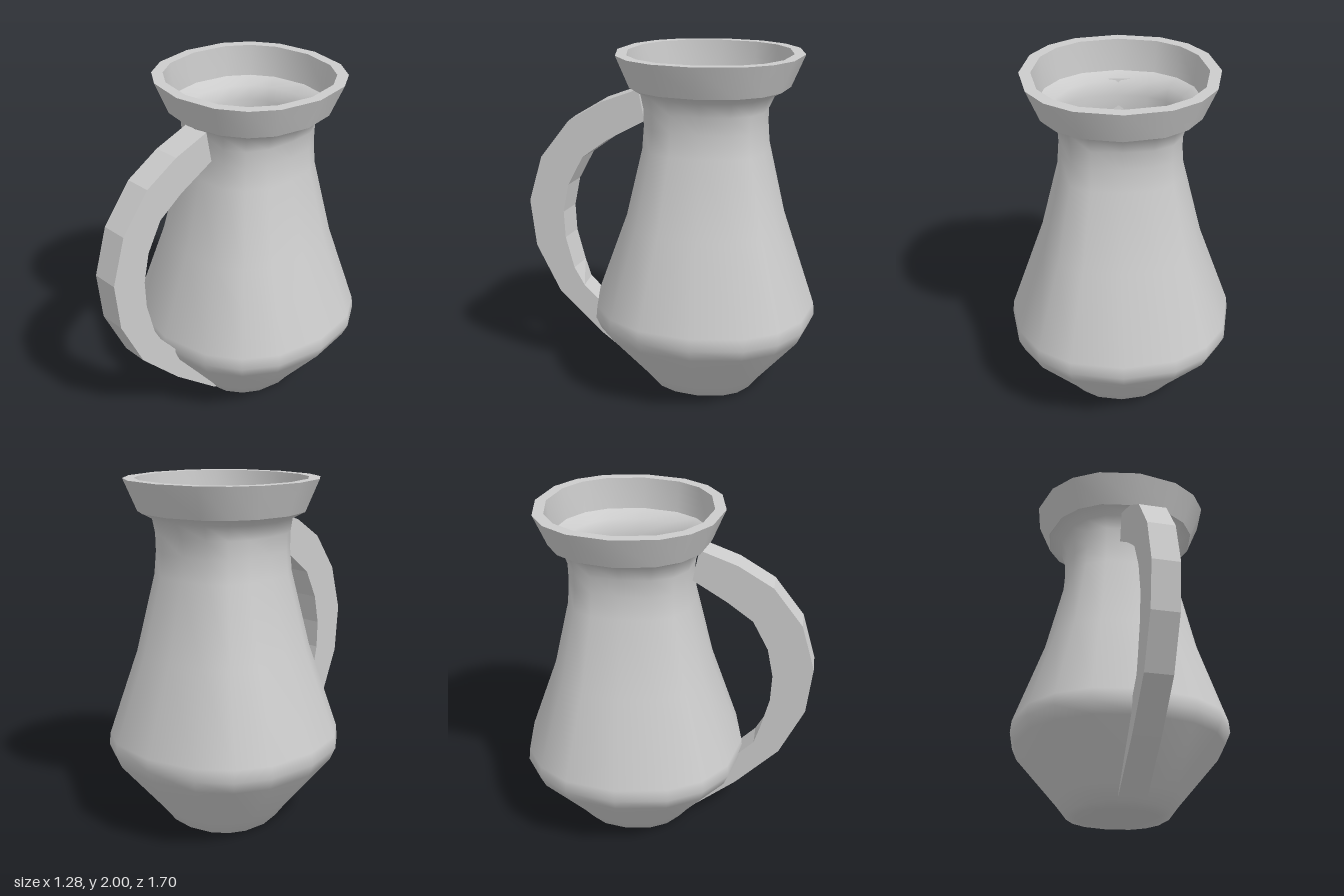
import * as THREE from 'three';
import { mergeVertices, toCreasedNormals } from 'three/addons/utils/BufferGeometryUtils.js';

const CENTRE_Z = -0.21;
const SIDES = 16;

// Lathe a profile, then square it off slightly on the diagonals and swell its front
function squaredLathe(profile, bulge, frontSwell) {
  const points = profile.map(([r, y]) => new THREE.Vector2(r, y));
  let geo = new THREE.LatheGeometry(points, SIDES);
  geo.deleteAttribute('uv');
  geo.deleteAttribute('normal');
  const pos = geo.attributes.position;
  for (let i = 0; i < pos.count; i++) {
    const y = pos.getY(i);
    const r = Math.hypot(pos.getX(i), pos.getZ(i));
    const t = Math.atan2(pos.getX(i), pos.getZ(i));
    const a = t + 0.07 * Math.sin(4 * t);
    const s = r * (1 + bulge(y) * (1 - Math.cos(4 * a)) / 2);
    const swell = r > 0.28 ? frontSwell(y) * Math.max(0, Math.cos(a)) ** 2 : 0;
    pos.setXYZ(i, s * Math.sin(a), y, s * Math.cos(a) + swell + CENTRE_Z);
  }
  geo = mergeVertices(geo, 1e-4);
  geo.computeVertexNormals();
  return geo;
}

export function createModel() {
  const group = new THREE.Group();
  const material = new THREE.MeshStandardMaterial({ color: 0xcccccc, side: THREE.DoubleSide });
  const add = (name, geometry) => {
    const mesh = new THREE.Mesh(geometry, material);
    mesh.name = name;
    group.add(mesh);
  };

  // Thin-walled body, open at the top
  const body = squaredLathe(
    [[0, 0.01], [0.24, 0.005], [0.3, 0.02], [0.36, 0.1], [0.61, 0.4], [0.64, 0.47], [0.633, 0.54],
      [0.455, 1.03], [0.345, 1.47], [0.335, 1.6], [0.337, 1.7], [0.375, 1.78], [0.45, 1.82]],
    (y) => (y > 1.75 ? 0.04 : 0.04 + 0.07 * THREE.MathUtils.smoothstep(y, 0.5, 1.5)),
    (y) => (y > 1.8 ? 0 : y > 1.75 ? 0.02 : 0.03));
  add('body', body);

  // Flared rim with a closed, wedge-shaped section
  const rim = squaredLathe(
    [[0.455, 1.82], [0.53, 2], [0.468, 2], [0.45, 1.82], [0.455, 1.82]],
    () => 0.03, () => 0);
  add('rim', toCreasedNormals(rim, 0.7));

  // Curved handle: side outline in (z, y), extruded across x
  const outer = [[0.185, 1.79], [0.4, 1.71], [0.6, 1.59], [0.77, 1.37], [0.85, 1.1],
    [0.82, 0.82], [0.68, 0.53], [0.43, 0.28], [0.13, 0.04]];
  const inner = [[0.11, 0.06], [0.34, 0.37], [0.45, 0.5], [0.53, 0.58], [0.59, 0.69],
    [0.638, 0.88], [0.645, 1.04], [0.61, 1.21], [0.52, 1.38], [0.37, 1.49], [0.15, 1.61]];
  const outline = new THREE.Shape([...outer, ...inner].map(([z, y]) => new THREE.Vector2(z, y)));
  const handle = new THREE.ExtrudeGeometry(outline, { depth: 0.16, bevelEnabled: false });
  handle.translate(0, 0, -0.08).rotateY(-Math.PI / 2);

  // The inner face slants a little across its width
  const pos = handle.attributes.position;
  for (let i = 0; i < pos.count; i++) {
    const y = pos.getY(i), z = pos.getZ(i);
    const onInner = Math.hypot(z - 0.2, y - 1) < 0.58 && y > 0.6;
    if (onInner && pos.getX(i) < 0) pos.setZ(i, z - 0.026);
  }
  handle.computeVertexNormals();
  add('handle', handle);

  return group;
}
